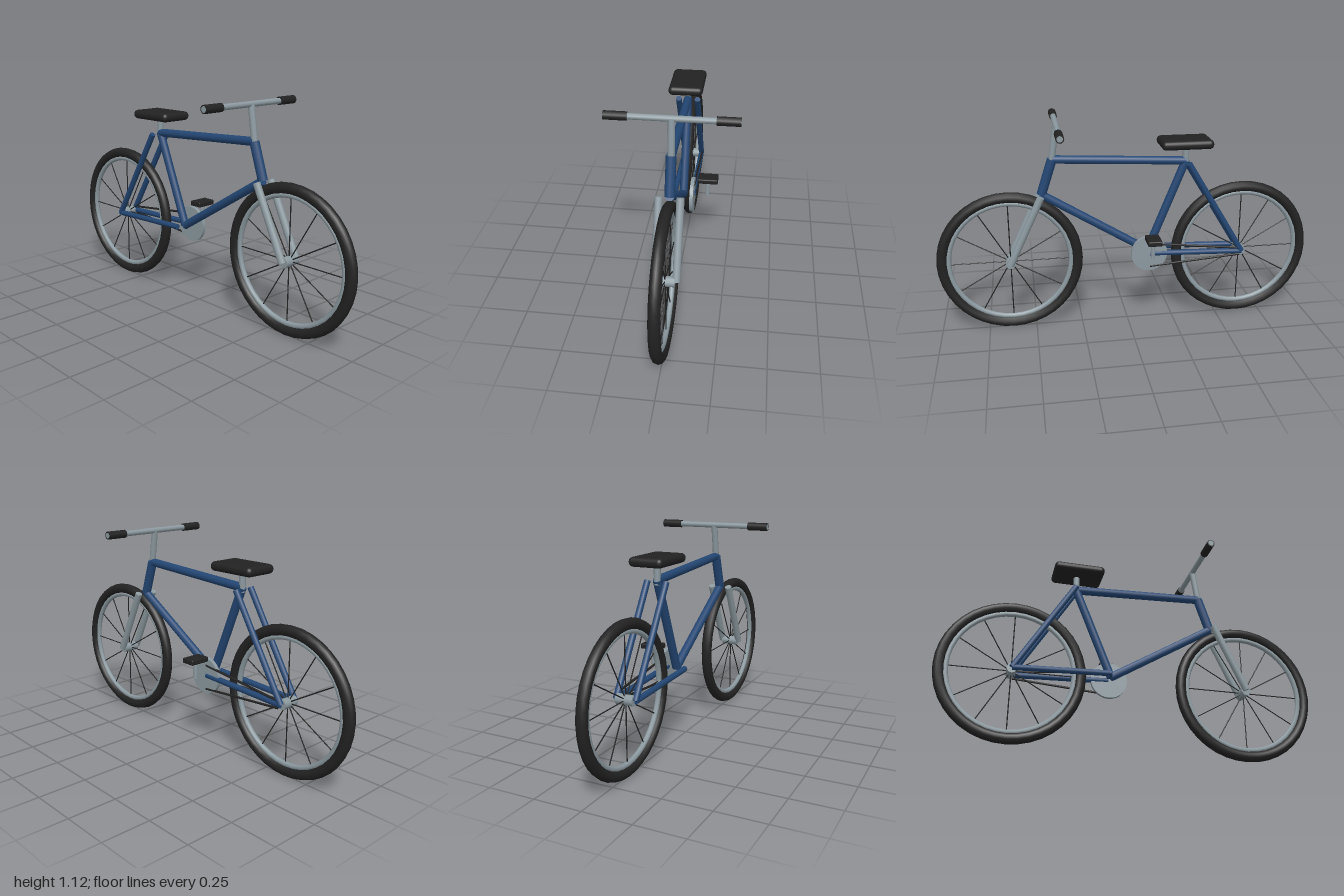
import * as THREE from 'three';
import { RoundedBoxGeometry } from 'three/addons/geometries/RoundedBoxGeometry.js';

const material = (name, color) => {
  const m = new THREE.MeshStandardMaterial({ color });
  m.name = name;
  return m;
};

export function createModel() {
  const bike = new THREE.Group();
  bike.name = 'bicycle';
  const blue = material('frame blue', 0x234673);
  const grey = material('metal grey', 0x8b999f);
  const black = material('rubber black', 0x222222);

  const add = (parent, name, geometry, mat, pos = [0, 0, 0]) => {
    const mesh = new THREE.Mesh(geometry, mat);
    mesh.name = name;
    mesh.position.set(...pos);
    parent.add(mesh);
    return mesh;
  };

  // Round bar between two points
  const up = new THREE.Vector3(0, 1, 0);
  const bar = (parent, name, from, to, radius, mat, sides = 12) => {
    const a = new THREE.Vector3(...from);
    const d = new THREE.Vector3(...to).sub(a);
    const mesh = add(parent, name, new THREE.CylinderGeometry(radius, radius, d.length(), sides), mat);
    mesh.position.copy(a).addScaledVector(d, 0.5);
    mesh.quaternion.setFromUnitVectors(up, d.normalize());
    return mesh;
  };

  // Wheels: tyre, rim, hub and twelve spokes
  const axleY = 0.386, axleZ = 0.62;
  for (const [name, z] of [['frontWheel', axleZ], ['rearWheel', -axleZ]]) {
    const wheel = new THREE.Group();
    wheel.name = name;
    wheel.position.set(0, axleY, z);
    add(wheel, 'tyre', new THREE.TorusGeometry(0.352, 0.028, 10, 40), black).rotation.y = Math.PI / 2;
    add(wheel, 'rim', new THREE.TorusGeometry(0.319, 0.014, 8, 40), grey).rotation.y = Math.PI / 2;
    bar(wheel, 'hub', [-0.045, 0, 0], [0.045, 0, 0], 0.026, grey);
    for (let i = 0; i < 12; i++) {
      const a = i * Math.PI / 6;
      bar(wheel, 'spoke', [0, 0, 0], [0, Math.sin(a) * 0.315, Math.cos(a) * 0.315], 0.003, black, 6);
    }
    bike.add(wheel);
  }

  // Main frame
  const crank = [0, 0.405, -0.11], seatTop = [0, 0.893, -0.308];
  const headTop = [0, 0.928, 0.385], headLow = [0, 0.745, 0.445];
  bar(bike, 'headTube', headLow, headTop, 0.025, blue);
  bar(bike, 'topTube', headTop, seatTop, 0.022, blue);
  bar(bike, 'downTube', headLow, crank, 0.022, blue);
  bar(bike, 'seatTube', seatTop, crank, 0.022, blue);

  // Paired stays and fork blades
  for (const x of [-0.051, 0.051]) {
    bar(bike, 'seatStay', [x, 0.888, -0.315], [x, axleY, -axleZ], 0.016, blue);
    bar(bike, 'chainStay', [x, 0.405, -0.115], [x, axleY, -axleZ], 0.015, blue);
    bar(bike, 'forkBlade', [x, 0.745, 0.45], [x, axleY, axleZ], 0.019, grey);
  }

  // Steering
  bar(bike, 'stem', [0, 0.92, 0.387], [0, 1.105, 0.36], 0.017, grey);
  bar(bike, 'handlebar', [-0.313, 1.105, 0.36], [0.313, 1.105, 0.36], 0.015, grey);
  for (const s of [-1, 1]) {
    bar(bike, 'grip', [s * 0.202, 1.105, 0.36], [s * 0.312, 1.105, 0.36], 0.021, black);
  }

  // Saddle
  bar(bike, 'seatPost', [0, 0.87, -0.308], [0, 0.985, -0.308], 0.017, grey);
  add(bike, 'seat', new RoundedBoxGeometry(0.18, 0.047, 0.27, 3, 0.022), black, [0, 0.991, -0.302]);

  // Drive train on the left side
  bar(bike, 'chainring', [0.041, 0.405, -0.11], [0.06, 0.405, -0.11], 0.097, grey, 28);
  bar(bike, 'upperChain', [0.058, 0.461, -0.115], [0.058, 0.405, -0.61], 0.006, black, 8);
  bar(bike, 'lowerChain', [0.058, 0.332, -0.115], [0.058, 0.37, -0.61], 0.006, black, 8);
  bar(bike, 'crankArm', [0.132, 0.408, -0.115], [0.132, 0.505, -0.115], 0.011, grey);
  add(bike, 'pedal', new RoundedBoxGeometry(0.11, 0.027, 0.075, 2, 0.006), black, [0.134, 0.508, -0.117]);

  return bike;
}
